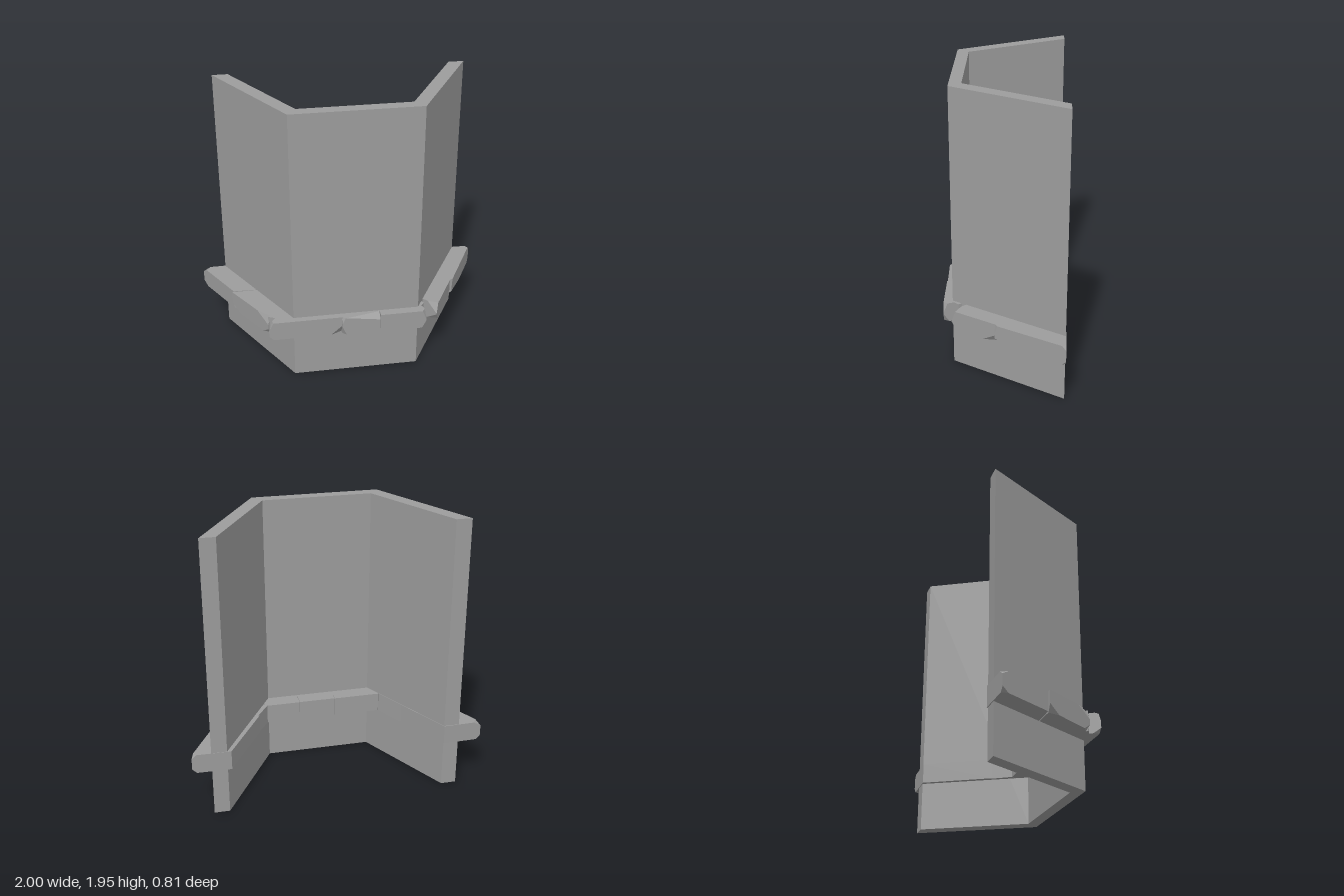
import * as THREE from 'three';
import { ConvexGeometry } from 'three/addons/geometries/ConvexGeometry.js';

const WALL_HEIGHT = 1.95, BAND_BOTTOM = 0.332, BAND_TOP = 0.468;

const material = new THREE.MeshStandardMaterial({ color: 0x9c9c9c, flatShading: true });

// Upright three-panel wall, extruded from its plan given as [x, z]
function makeWall() {
  const plan = [
    [-0.84, -0.4], [-0.42, 0.34], [0.44, 0.34], [0.87, -0.4],
    [0.765, -0.4], [0.38, 0.26], [-0.36, 0.26], [-0.735, -0.4],
  ];
  const shape = new THREE.Shape(plan.map(([x, z]) => new THREE.Vector2(x, -z)));
  const geometry = new THREE.ExtrudeGeometry(shape, { depth: WALL_HEIGHT, bevelEnabled: false });
  geometry.rotateX(-Math.PI / 2);
  const wall = new THREE.Mesh(geometry, material);
  wall.name = 'wall';
  return wall;
}

// Stone block: plan = outer start, outer end, inner end, inner start.
// Each outer corner may be chipped by [along, upright, deep].
function makeStone({ plan, chips }) {
  const points = [];
  const at = (i, y) => new THREE.Vector3(plan[i][0], y, plan[i][1]);
  for (const [level, y] of [BAND_BOTTOM, BAND_TOP].entries()) {
    points.push(at(2, y), at(3, y));
    for (const end of [0, 1]) {
      const corner = at(end, y);
      const chip = chips[end * 2 + level];
      if (!chip) {
        points.push(corner);
        continue;
      }
      const toward = (target, d) =>
        corner.clone().addScaledVector(target.sub(corner).normalize(), d);
      points.push(
        toward(at(1 - end, y), chip[0]),
        toward(at(end, level ? BAND_BOTTOM : BAND_TOP), chip[1]),
        toward(at(3 - end, y), chip[2]),
      );
    }
  }
  return new THREE.Mesh(new ConvexGeometry(points), material);
}

// Stones in order round the band; chips: start bottom, start top, end bottom, end top
const STONES = [
  { plan: [[-1, -0.4], [-0.8, -0.05], [-0.53, -0.045], [-0.735, -0.407]],
    chips: [[0.05, 0.03, 0.03], [0.05, 0.03, 0.05], null, null] },
  { plan: [[-0.81, -0.04], [-0.59, 0.31], [-0.418, 0.15], [-0.53, -0.045]],
    chips: [[0.09, 0.05, 0.03], null, [0.06, 0.04, 0.03], [0.12, 0.06, 0.025]] },
  { plan: [[-0.59, 0.385], [-0.09, 0.385], [-0.09, 0.15], [-0.415, 0.15]],
    chips: [[0.03, 0.03, 0.05], [0.03, 0.06, 0.04], [0.08, 0.07, 0.04], null] },
  { plan: [[-0.095, 0.4], [0.168, 0.4], [0.168, 0.152], [-0.088, 0.152]],
    chips: [[0.03, 0.07, 0.03], [0.03, 0.05, 0.02], null, [0.24, 0.035, 0.05]] },
  { plan: [[0.17, 0.4], [0.49, 0.4], [0.405, 0.15], [0.17, 0.15]],
    chips: [[0.13, 0.03, 0.05], null, [0.03, 0.06, 0.04], [0.03, 0.07, 0.03]] },
  { plan: [[0.575, 0.34], [0.745, 0.04], [0.5, 0.01], [0.405, 0.15]],
    chips: [[0.04, 0.06, 0.08], [0.03, 0.08, 0.08], [0.1, 0.06, 0.04], null] },
  { plan: [[0.755, 0.05], [1, -0.4], [0.737, -0.405], [0.48, 0.025]],
    chips: [[0.23, 0.04, 0.06], [0.02, 0.06, 0.02], [0.03, 0.03, 0.03], [0.03, 0.03, 0.03]] },
];

// Blocks closing the band where stones meet at the two front corners
const CORNER_FILLS = {
  rightCornerFill: [[-0.588, 0.3], [-0.46, 0.36], [-0.36, 0.155], [-0.415, 0.155]],
  leftCornerFill: [[0.44, 0.36], [0.49, 0.3], [0.41, 0.155], [0.36, 0.155]],
};

export function createModel() {
  const model = new THREE.Group();
  model.name = 'panelledWall';
  model.add(makeWall());

  // Rough stone course running round the wall
  const band = new THREE.Group();
  band.name = 'stoneBand';
  STONES.forEach((spec, i) => {
    const stone = makeStone(spec);
    stone.name = `bandStone${i + 1}`;
    band.add(stone);
  });
  for (const [name, plan] of Object.entries(CORNER_FILLS)) {
    const fill = makeStone({ plan, chips: [] });
    fill.name = name;
    band.add(fill);
  }
  model.add(band);
  return model;
}
